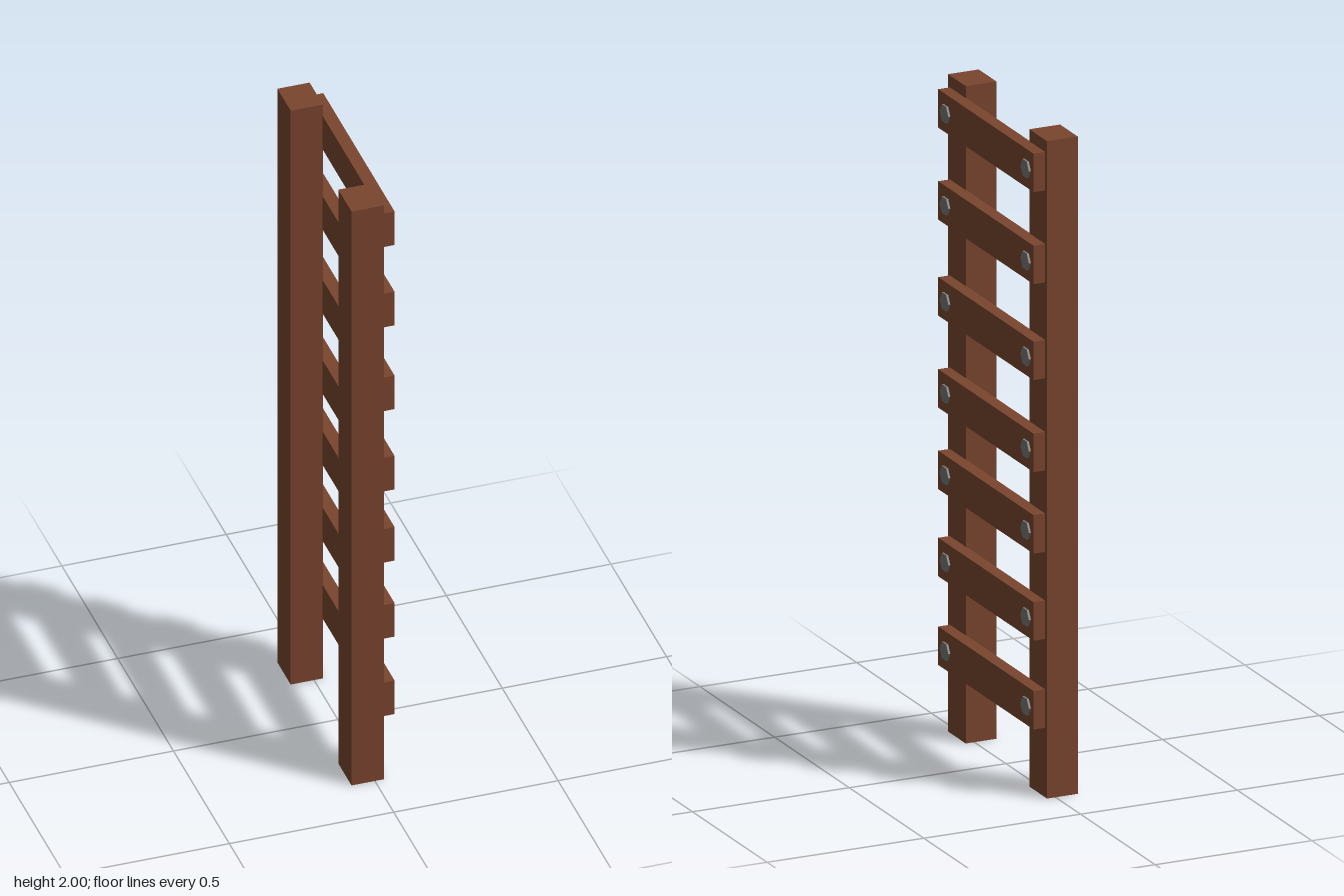
import * as THREE from 'three';

export function createModel() {
  const model = new THREE.Group();
  model.name = 'ladder';
  const wood = new THREE.MeshStandardMaterial({ color: 0x7a452e, flatShading: true });
  const metal = new THREE.MeshStandardMaterial({ color: 0x777777, flatShading: true });

  function add(name, geometry, material, x, y, z) {
    const mesh = new THREE.Mesh(geometry, material);
    mesh.name = name;
    mesh.position.set(x, y, z);
    model.add(mesh);
  }

  // Two square uprights
  const postGeometry = new THREE.BoxGeometry(0.098, 2, 0.119);
  add('frontPost', postGeometry, wood, -0.022, 1, 0.272);
  add('backPost', postGeometry, wood, -0.022, 1, -0.273);

  // Unevenly spaced rungs, each fixed by two hexagonal bolt heads
  const rungGeometry = new THREE.BoxGeometry(0.039, 0.117, 0.639);
  const boltGeometry = new THREE.CylinderGeometry(0.029, 0.029, 0.012, 6);
  boltGeometry.rotateZ(-Math.PI / 2);
  const rungHeights = [0.27, 0.54, 0.805, 1.053, 1.333, 1.625, 1.905];
  rungHeights.forEach((y, i) => {
    add(`rung${i + 1}`, rungGeometry, wood, 0.0445, y, 0);
    add(`frontBolt${i + 1}`, boltGeometry, metal, 0.0645, y, 0.267);
    add(`backBolt${i + 1}`, boltGeometry, metal, 0.0645, y, -0.273);
  });

  return model;
}
